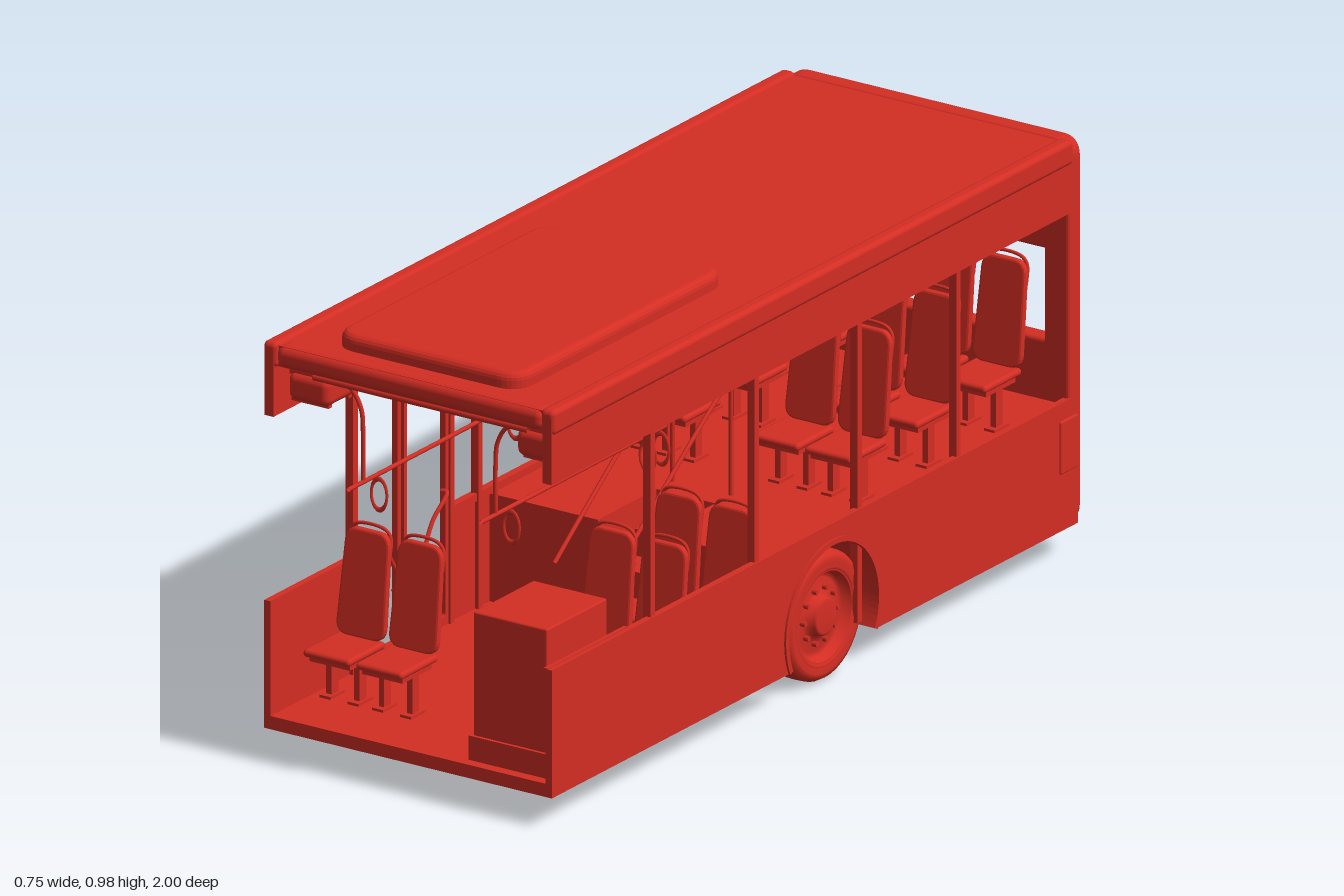
import * as THREE from 'three';
import { RoundedBoxGeometry } from 'three/addons/geometries/RoundedBoxGeometry.js';

const red = new THREE.MeshStandardMaterial({ color: 0xd32d23, side: THREE.DoubleSide });
red.name = 'red';

export function createModel() {
  const bus = new THREE.Group();
  bus.name = 'busRearSection';

  const add = (name, geo, parent = bus) => {
    const m = new THREE.Mesh(geo, red);
    m.name = name;
    parent.add(m);
    return m;
  };
  // Box given by its limits, with optional rounding
  const box = (name, x0, x1, y0, y1, z0, z1, r = 0, parent = bus) => {
    const s = [x1 - x0, y1 - y0, z1 - z0];
    const g = r ? new RoundedBoxGeometry(...s, 3, r) : new THREE.BoxGeometry(...s);
    g.translate((x0 + x1) / 2, (y0 + y1) / 2, (z0 + z1) / 2);
    return add(name, g, parent);
  };
  // Same box on the side s = 1 or -1
  const sideBox = (name, s, x0, x1, ...rest) =>
    s > 0 ? box(name, x0, x1, ...rest) : box(name, -x1, -x0, ...rest);
  const tube = (name, pts, r, parent = bus, closed = false, n = 32) =>
    add(name, new THREE.TubeGeometry(
      new THREE.CatmullRomCurve3(pts.map(p => new THREE.Vector3(...p)), closed, 'centripetal'),
      n, r, 8, closed), parent);
  const rod = (name, a, b, r) => tube(name, [a, b], r, bus, false, 1);
  // Extrude a (z, y) outline along x, between x0 and x1
  const sideExtrude = (name, shape, x0, x1) => {
    const g = new THREE.ExtrudeGeometry(shape, { depth: x1 - x0, bevelEnabled: false, curveSegments: 24 });
    g.rotateY(-Math.PI / 2);
    g.translate(x1, 0, 0);
    return add(name, g);
  };
  const roundRect = (P, x0, x1, y0, y1, r) => {
    const p = new P();
    p.moveTo(x0 + r, y0); p.lineTo(x1 - r, y0);
    p.quadraticCurveTo(x1, y0, x1, y0 + r); p.lineTo(x1, y1 - r);
    p.quadraticCurveTo(x1, y1, x1 - r, y1); p.lineTo(x0 + r, y1);
    p.quadraticCurveTo(x0, y1, x0, y1 - r); p.lineTo(x0, y0 + r);
    p.quadraticCurveTo(x0, y0, x0 + r, y0);
    return p;
  };

  const wz = -0.05, wy = 0.145, arch = 0.18, a = 0.43;

  // Floor with wheel notches
  const floor = new THREE.Shape();
  [[-0.355, -0.95], [0.355, -0.95], [0.355, wz - arch], [0.19, wz - arch], [0.19, wz + arch], [0.355, wz + arch],
    [0.355, 1], [-0.355, 1], [-0.355, wz + arch], [-0.19, wz + arch], [-0.19, wz - arch], [-0.355, wz - arch]]
    .forEach(([x, z], i) => i ? floor.lineTo(x, -z) : floor.moveTo(x, -z));
  const fg = new THREE.ExtrudeGeometry(floor, { depth: 0.03, bevelEnabled: false });
  fg.rotateX(-Math.PI / 2);
  fg.translate(0, 0.07, 0);
  add('floor', fg);

  // Raised rear floor with steps in the aisle
  box('rearPlatform', -0.355, 0.355, 0.33, 0.345, -0.95, -0.04);
  for (let i = 0; i < 3; i++)
    box('aisleStep', -0.075, 0.075, 0.1, 0.16 + i * 0.06, -0.06, 0.2 - i * 0.08);
  box('topRiser', -0.075, 0.075, 0.1, 0.34, -0.06, -0.04);

  for (const s of [1, -1]) {
    // Lower side panel, with a door opening on one side
    const low = new THREE.Shape();
    low.moveTo(-0.97, 0.07);
    low.lineTo(wz - 0.164, 0.07);
    low.absarc(wz, wy, arch, Math.PI + a, -a, true);
    low.lineTo(1, 0.07);
    low.lineTo(1, 0.36);
    if (s < 0) [[0.7, 0.36], [0.7, 0.1], [0.32, 0.1], [0.32, 0.36]].forEach(p => low.lineTo(...p));
    low.lineTo(-0.97, 0.36);
    const [x0, x1] = s > 0 ? [0.353, 0.369] : [-0.369, -0.353];
    sideExtrude('lowerSidePanel', low, x0, x1);
    sideBox('windowSill', s, 0.348, 0.358, 0.345, 0.362, s > 0 ? 0.7 : -0.95, s > 0 ? 1 : 0.32);

    // Wheel arch lip, liner and inner wall
    const lip = new THREE.Shape();
    lip.absarc(wz, wy, arch, -a, Math.PI + a, false);
    lip.absarc(wz, wy, arch - 0.012, Math.PI + a, -a, true);
    sideExtrude('wheelArchLip', lip, s > 0 ? 0.35 : -0.374, s > 0 ? 0.374 : -0.35);
    const liner = new THREE.CylinderGeometry(arch, arch, 0.165, 32, 1, true, Math.PI / 2 - a, Math.PI + 2 * a);
    liner.rotateZ(Math.PI / 2);
    liner.rotateX(Math.PI / 2);
    const lm = add('wheelWellLiner', liner);
    lm.position.set(s * 0.2725, wy, wz);
    // Open part of the liner points down
    lm.rotation.x = new THREE.Box3().setFromObject(lm).min.y < -0.03 ? Math.PI : 0;
    sideBox('wheelWellWall', s, 0.185, 0.192, 0.07, 0.34, wz - arch, wz + arch);

    // Seat platform beside the aisle
    sideBox('platformSide', s, 0.075, 0.083, 0.1, 0.345, -0.06, 0.18);
    sideBox('platformFront', s, 0.075, 0.355, 0.1, 0.345, 0.17, 0.18);
    sideBox('platformTop', s, 0.075, 0.355, 0.333, 0.345, -0.06, 0.18);

    // Upper side panel, roof rail and duct
    sideBox('upperSidePanel', s, 0.345, 0.368, 0.78, 0.93, -0.95, 1);
    sideBox('roofRail', s, 0.338, 0.374, 0.89, 0.947, -0.95, 1, 0.012);
    sideBox('ceilingDuct', s, 0.24, 0.346, 0.803, 0.866, -0.94, 0.95, 0.018);
    sideBox('ductHanger', s, 0.27, 0.346, 0.86, 0.9, -0.94, 0.94);
    for (let z = -0.88; z < 0.92; z += 0.075)
      sideBox('ductRib', s, 0.25, 0.346, 0.797, 0.806, z, z + 0.012);

    // Window pillars
    const pillars = s > 0 ? [0.615, 0.225, -0.16, -0.53] : [0.695, 0.33, 0.225, -0.1, -0.16, -0.55];
    for (const z of pillars) sideBox('windowPillar', s, 0.345, 0.364, 0.1, 0.79, z - 0.008, z + 0.008);

    // Ceiling grab rail with hanging loops
    tube('grabRail', [[s * 0.24, 0.862, 0.92], [s * 0.2, 0.85, 0.92], [s * 0.175, 0.81, 0.92], [s * 0.17, 0.76, 0.92],
      [s * 0.17, 0.65, 0.92]], 0.005);
    rod('grabRail', [s * 0.17, 0.645, 0.975], [s * 0.17, 0.645, 0.285], 0.005);
    for (const z of [0.86, 0.35, 0.3]) {
      const loop = add('grabLoop', new THREE.TorusGeometry(0.02, 0.0035, 6, 24));
      loop.position.set(s * 0.17, 0.598, z);
      loop.scale.y = 1.75;
    }

    // Handrail beside the steps
    tube('stepHandrail', [[s * 0.075, 0.3, 0.34], [s * 0.075, 0.36, 0.26], [s * 0.075, 0.575, -0.04],
      [s * 0.075, 0.592, -0.07], [s * 0.075, 0.592, -0.1]], 0.005);
    rod('handrailPost', [s * 0.075, 0.34, -0.1], [s * 0.075, 0.595, -0.1], 0.005);

    // Tail lights
    sideBox('tailLightPanel', s, 0.295, 0.345, 0.17, 0.405, -0.99, -0.98, 0.004);
    for (let i = 0; i < 4; i++)
      sideBox('tailLight', s, 0.3, 0.34, 0.18 + i * 0.056, 0.225 + i * 0.056, -0.998, -0.985, 0.005);
  }

  // Side markers on the front lower panels
  for (const s of [1, -1]) sideBox('sideMarker', s, 0.36, 0.374, 0.2, 0.32, -0.965, -0.9, 0.004);

  // Roof, front beam, pod
  box('roof', -0.345, 0.345, 0.893, 0.94, -0.97, 0.99);
  box('frontRoofBeam', -0.343, 0.343, 0.892, 0.942, 0.94, 1, 0.02);
  rod('crossRail', [-0.275, 0.87, 0.95], [0.275, 0.87, 0.95], 0.008);
  const pod = new THREE.ExtrudeGeometry(roundRect(THREE.Shape, -0.222, 0.222, -0.915, -0.165, 0.04),
    { depth: 0.018, bevelThickness: 0.018, bevelSize: 0.016, bevelSegments: 4, curveSegments: 8 });
  pod.rotateX(-Math.PI / 2);
  pod.translate(-0.002, 0.94, 0);
  add('roofPod', pod);

  // Rear wall with window, hatch and bumper
  const rear = roundRect(THREE.Shape, -0.36, 0.36, 0.075, 0.935, 0.035);
  rear.holes.push(roundRect(THREE.Path, -0.31, 0.31, 0.475, 0.695, 0.008));
  const rg = new THREE.ExtrudeGeometry(rear,
    { depth: 0.03, bevelThickness: 0.008, bevelSize: 0.008, bevelSegments: 3, curveSegments: 8 });
  rg.translate(0, 0, -0.976);
  add('rearWall', rg);
  box('rearHatch', -0.2, 0.2, 0.78, 0.87, -0.99, -0.983, 0.003);
  box('rearBumper', -0.355, 0.355, 0.065, 0.103, -1, -0.94, 0.015);

  // Side doors: frames, rails and handles
  for (const [z0, z1] of [[0.335, 0.505], [0.515, 0.69]]) {
    const d = roundRect(THREE.Shape, z0, z1, 0.1, 0.78, 0.004);
    d.holes.push(roundRect(THREE.Path, z0 + 0.013, z1 - 0.013, 0.12, 0.762, 0.008));
    sideExtrude('doorFrame', d, -0.365, -0.35);
    const h = z0 < 0.5 ? z1 - 0.03 : z0 + 0.03, m = z0 < 0.5 ? z0 + 0.03 : z1 - 0.03;
    tube('doorHandle', [[-0.35, 0.24, h], [-0.335, 0.26, h], [-0.335, 0.36, (h + m) / 2], [-0.335, 0.41, m], [-0.35, 0.41, m]], 0.005);
  }
  rod('doorMechanism', [-0.335, 0.775, 0.32], [-0.335, 0.775, 0.7], 0.008);
  rod('doorArm', [-0.34, 0.785, 0.6], [-0.3, 0.775, 0.52], 0.006);

  // Equipment cabinet
  box('cabinetBase', 0.138, 0.353, 0.1, 0.155, 0.72, 0.975);
  box('cabinet', 0.147, 0.336, 0.155, 0.436, 0.745, 0.97, 0.004);
  box('cabinetDoor', 0.14, 0.148, 0.175, 0.415, 0.76, 0.955);
  box('cabinetVent', 0.17, 0.31, 0.2, 0.4, 0.738, 0.746);

  // Seat: the floor is at y = 0, the top of the back at z = 0
  const backGeo = new THREE.ExtrudeGeometry(roundRect(THREE.Shape, -0.053, 0.053, 0.125, 0.35, 0.025),
    { depth: 0.008, bevelThickness: 0.004, bevelSize: 0.005, bevelSegments: 2, curveSegments: 6 });
  const p = backGeo.attributes.position;
  for (let i = 0; i < p.count; i++) {
    const t = (p.getY(i) - 0.12) / 0.24;
    p.setZ(i, p.getZ(i) + 0.032 * (1 - t) - 0.004);
    p.setX(i, p.getX(i) * (1.08 - 0.14 * t * t));
  }
  backGeo.computeVertexNormals();
  const seat = (x, y, z) => {
    const g = new THREE.Group();
    g.name = 'seat';
    add('seatBack', backGeo, g);
    box('seatCushion', -0.06, 0.06, 0.105, 0.122, 0.025, 0.165, 0.008, g);
    box('seatFrame', -0.052, 0.052, 0.093, 0.105, 0.04, 0.15, 0, g);
    tube('seatHandle', [[-0.052, 0.3, 0], [-0.05, 0.345, -0.006], [-0.035, 0.361, -0.006], [0.035, 0.361, -0.006],
      [0.05, 0.345, -0.006], [0.052, 0.3, 0]], 0.004, g);
    for (const lx of [-0.036, 0.036]) {
      box('seatLeg', lx - 0.007, lx + 0.007, 0, 0.1, 0.075, 0.1, 0, g);
      box('seatFoot', lx - 0.014, lx + 0.014, 0, 0.006, 0.06, 0.115, 0, g);
    }
    g.position.set(x, y, z);
    bus.add(g);
  };
  for (const x of [0.145, 0.28]) {
    seat(-x, 0.1, 0.735);
    for (const z of [0.44, 0.19]) seat(x, 0.1, z);
    for (const s of [1, -1]) for (const z of [-0.325, -0.575, -0.83]) seat(s * x, 0.345, z);
  }

  // Twin wheels
  const lathe = (pts) => new THREE.LatheGeometry(pts.map(q => new THREE.Vector2(...q)), 40).rotateZ(-Math.PI / 2);
  const tyreGeo = lathe([[0.1, -0.034], [0.125, -0.038], [0.137, -0.034], [0.144, -0.022], [0.145, 0],
    [0.144, 0.022], [0.137, 0.034], [0.125, 0.038], [0.1, 0.034]]);
  const rimGeo = lathe([[0.115, 0.034], [0.108, 0.038], [0.1, 0.032], [0.095, 0.012], [0.082, 0.01],
    [0.062, 0.016], [0.045, 0.016], [0.042, 0.034], [0.036, 0.038], [0, 0.038]]);
  for (const s of [1, -1]) {
    const w = new THREE.Group();
    w.name = 'twinWheel';
    add('outerTyre', tyreGeo, w).position.x = 0.317;
    add('innerTyre', tyreGeo, w).position.x = 0.24;
    add('rim', rimGeo, w).position.x = 0.317;
    for (let i = 0; i < 10; i++) {
      const t = i * Math.PI / 5;
      const nut = add('wheelNut', new THREE.CylinderGeometry(0.006, 0.006, 0.014, 6).rotateZ(Math.PI / 2), w);
      nut.position.set(0.337, 0.062 * Math.sin(t), 0.062 * Math.cos(t));
    }
    box('axle', 0, 0.3, -0.03, 0.03, -0.03, 0.03, 0, w);
    w.position.set(0, wy, wz);
    w.rotation.y = s > 0 ? 0 : Math.PI;
    bus.add(w);
  }
  return bus;
}
